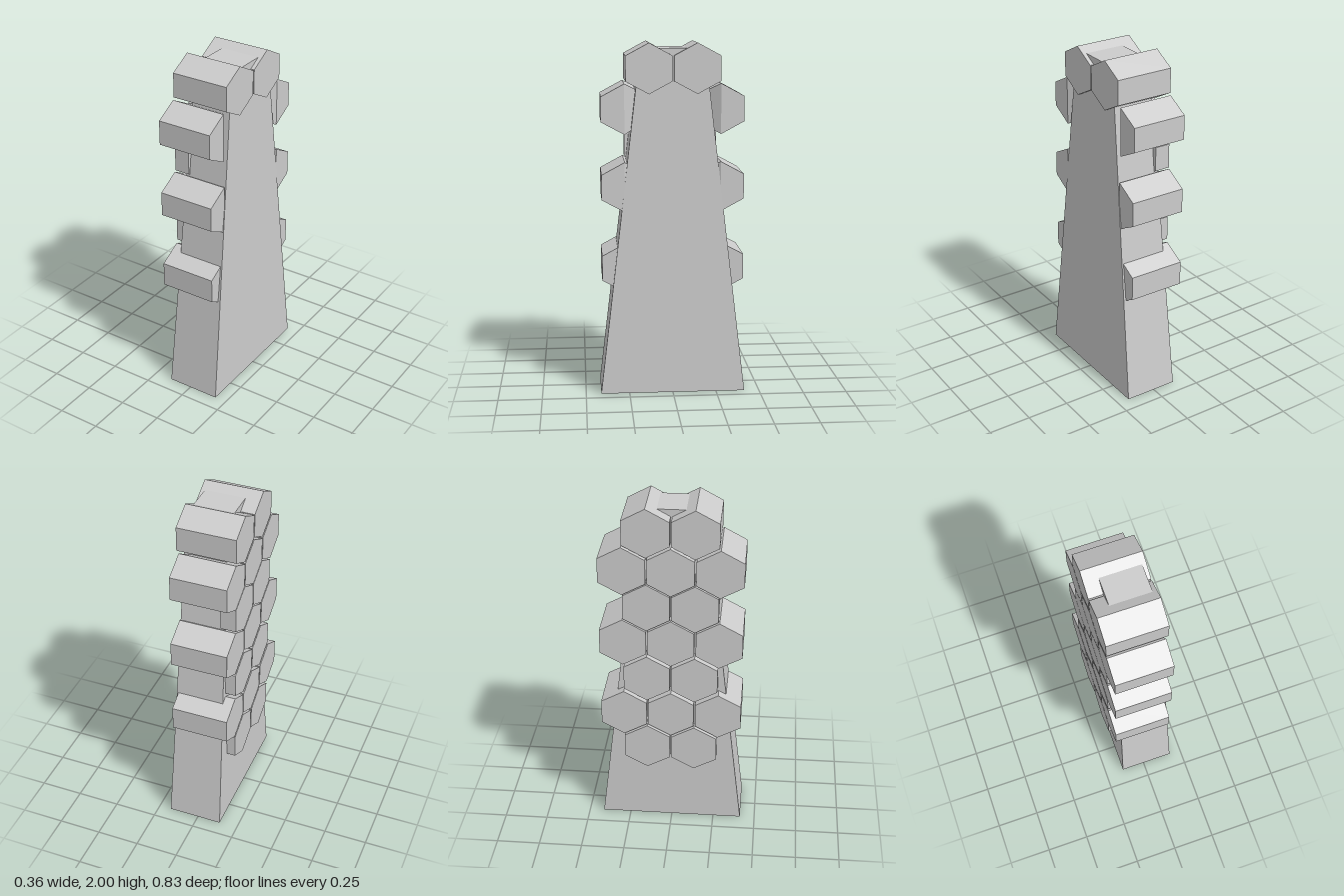
import * as THREE from 'three';

const material = new THREE.MeshStandardMaterial({ color: 0xcccccc, flatShading: true });
const BACK = -0.18; // shared plane of the honeycomb face

function mesh(name, geometry) {
  const m = new THREE.Mesh(geometry, material);
  m.name = name;
  return m;
}

// Tapered block: a box whose top and bottom rectangles differ
function towerGeometry() {
  const g = new THREE.BoxGeometry(2, 2, 2);
  const p = g.attributes.position;
  const bottom = { x: [-0.14, 0.178], z: [-0.415, 0.413], y: 0 };
  const top = { x: [-0.098, 0.135], z: [-0.182, 0.178], y: 1.97 };
  for (let i = 0; i < p.count; i++) {
    const r = p.getY(i) > 0 ? top : bottom;
    p.setXYZ(i, r.x[p.getX(i) > 0 ? 1 : 0], r.y, r.z[p.getZ(i) > 0 ? 1 : 0]);
  }
  g.computeVertexNormals();
  return g;
}

// Hexagonal prism along x; innerSide (+1/-1) slants that half of the far end inward
function prismGeometry(y, z, end, innerSide = 0) {
  const length = end - BACK;
  const g = new THREE.CylinderGeometry(1, 1, 1, 6, 1, false, Math.PI / 6);
  g.rotateZ(-Math.PI / 2);
  g.scale(length, 0.1415, 0.131 / Math.cos(Math.PI / 6));
  const p = g.attributes.position;
  for (let i = 0; i < p.count; i++) {
    if (p.getX(i) > 0 && p.getZ(i) * innerSide > 0.05) p.setX(i, p.getX(i) - 0.09);
  }
  g.translate(BACK + length / 2, y, z);
  g.computeVertexNormals();
  return g;
}

export function createModel() {
  const model = new THREE.Group();
  model.name = 'honeycombTower';
  model.add(mesh('tower', towerGeometry()));

  const comb = new THREE.Group();
  comb.name = 'honeycomb';
  model.add(comb);

  // Rows of two: full-length caps at the top, short studs below
  [[1.8585, 0.158], [1.415, -0.09], [0.965, -0.09], [0.507, -0.09]].forEach(([y, end], row) => {
    for (const s of [1, -1]) {
      comb.add(mesh(row === 0 ? 'topPrism' : 'stud', prismGeometry(y, -0.004 + s * 0.1355, end)));
    }
  });

  // Rows of three: a stud in the middle, long prisms wrapping both sides
  [[1.633, 0.144], [1.195, 0.149], [0.732, 0.15]].forEach(([y, end]) => {
    comb.add(mesh('stud', prismGeometry(y, -0.003, -0.04)));
    for (const s of [1, -1]) {
      comb.add(mesh('sidePrism', prismGeometry(y, -0.002 + s * 0.271, end, -s)));
    }
  });

  return model;
}
